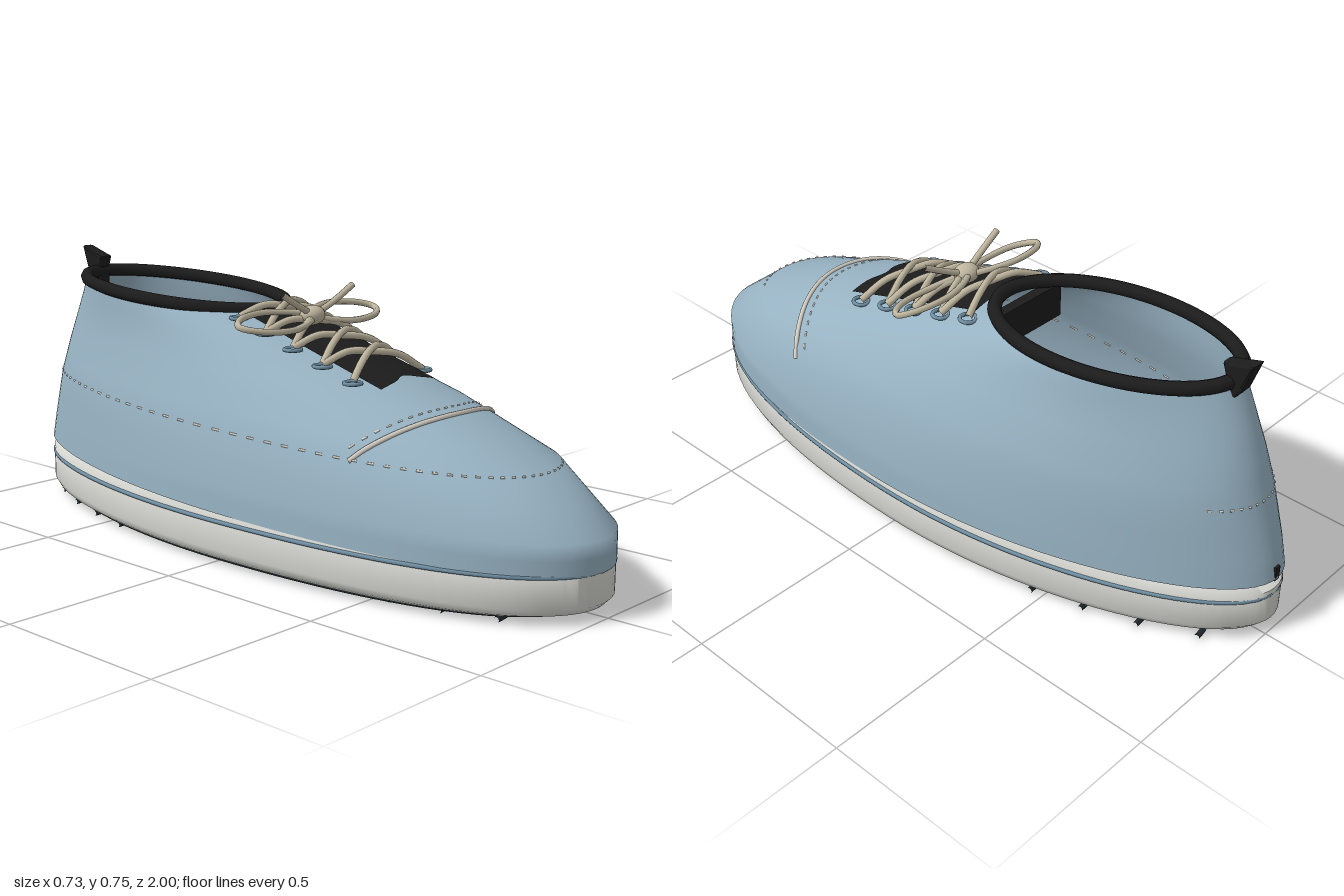
import * as THREE from 'three';
import { toCreasedNormals } from 'three/addons/utils/BufferGeometryUtils.js';

const mat = (name, color, side = THREE.FrontSide) => {
  const m = new THREE.MeshStandardMaterial({ color, side });
  m.name = name;
  return m;
};
const V = (x, y, z) => new THREE.Vector3(x, y, z);

// Foot outline: fuller toe, slimmer heel, ends curving gently to -x
const widen = (z) => 1 + 0.13 * z * Math.abs(z);
const sway = (z) => -0.022 * z * z;
const foot = (x, z) => x * widen(z) + sway(z);

// Upper cross-sections: front z, back z, half width, front y, back y, centre x, roundness
const RINGS = [
  [1.0, -1.0, 0.361, 0.12, 0.17, 0, 1],
  [1.0, -0.985, 0.356, 0.2, 0.24, 0, 1],
  [0.83, -0.94, 0.323, 0.33, 0.385, 0, 0.94],
  [0.55, -0.91, 0.277, 0.44, 0.48, 0, 0.95],
  [0.25, -0.87, 0.235, 0.53, 0.575, -0.004, 0.97],
  [-0.1, -0.815, 0.206, 0.633, 0.678, -0.011, 1],
];

function ringAt(t) {
  const i = Math.min(Math.floor(t), RINGS.length - 2), f = t - i;
  return RINGS[i].map((v, k) => v + (RINGS[i + 1][k] - v) * f);
}

// Point on the upper: t climbs the rings, a turns from the toe towards +x
function surf(t, a) {
  const [zf, zb, hx, yf, yb, cx, p] = ringAt(t);
  const power = (v) => Math.sign(v) * Math.abs(v) ** p;
  const c = power(Math.cos(a)), z = (zf + zb) / 2 + ((zf - zb) / 2) * c;
  return V(foot(cx + hx * power(Math.sin(a)), z), (yf + yb) / 2 + ((yf - yb) / 2) * c, z);
}

// Point on the front of the upper above a given x and z
function onTop(x, z, lift = 0) {
  const x0 = (x - sway(z)) / widen(z);
  const angle = (t) => {
    const r = ringAt(t), u = THREE.MathUtils.clamp((x0 - r[5]) / r[2], -1, 1);
    return Math.asin(Math.sign(u) * Math.abs(u) ** (1 / r[6]));
  };
  let lo = 1, hi = 5;
  for (let i = 0; i < 30; i++) {
    const t = (lo + hi) / 2;
    if (surf(t, angle(t)).z > z) lo = t; else hi = t;
  }
  return V(x, surf(lo, angle(lo)).y + lift, z);
}

// Smooth surface from rows of points
function grid(rows, closed) {
  const n = rows[0].length, idx = [];
  for (let j = 0; j < rows.length - 1; j++) {
    for (let i = 0; i < (closed ? n : n - 1); i++) {
      const k = (i + 1) % n, a = j * n + i, b = j * n + k;
      idx.push(a, b, b + n, a, b + n, a + n);
    }
  }
  const g = new THREE.BufferGeometry().setFromPoints(rows.flat());
  g.setIndex(idx);
  g.computeVertexNormals();
  return g;
}

const range = (n, f) => Array.from({ length: n }, (_, i) => f(i));
const tube = (pts, r, seg = 32, closed = false) =>
  new THREE.TubeGeometry(new THREE.CatmullRomCurve3(pts, closed), seg, r, 8, closed);

// Flat sole layer with a turned edge profile and the foot outline
function oval(profile) {
  const g = new THREE.LatheGeometry(profile.map((p) => new THREE.Vector2(...p)), 96);
  const pos = g.attributes.position;
  for (let i = 0; i < pos.count; i++) pos.setX(i, foot(0.36 * pos.getX(i), pos.getZ(i)));
  return toCreasedNormals(g, 0.95);
}

export function createModel() {
  const shoe = new THREE.Group();
  shoe.name = 'shoe';
  const blue = mat('blue upper', 0x96b1c1, THREE.DoubleSide);
  const trim = mat('blue trim', 0x6f8fa3);
  const white = mat('white sole', 0xdcdcd7);
  const black = mat('black trim', 0x1c1c1c, THREE.DoubleSide);
  const rubber = mat('dark rubber', 0x1f292e);
  const beige = mat('beige lace', 0xc0b7a0);
  const thread = mat('pale thread', 0xd4cec4);
  const add = (name, geo, material, parent = shoe) => {
    const m = new THREE.Mesh(geo, material);
    m.name = name;
    parent.add(m);
    return m;
  };
  const box = (name, size, at, material) =>
    add(name, new THREE.BoxGeometry(...size), material).position.set(...at);
  const group = (name) => {
    const g = new THREE.Group();
    g.name = name;
    shoe.add(g);
    return g;
  };

  // Sole layers
  add('midsole', oval([[0, 0.015], [0.95, 0.015], [0.98, 0.024], [0.998, 0.042],
    [0.998, 0.14], [0.96, 0.165], [0, 0.165]]), white);
  add('outsole', oval([[0, 0.006], [0.92, 0.006], [0.93, 0.017], [0, 0.017]]), rubber);

  // Wavy tread bars under the sole
  const treads = group('treads');
  for (let i = 0; i < 13; i++) {
    const z = -0.87 + i * 0.14;
    const w = 0.36 * Math.sqrt(1 - z * z) * (z < -0.4 ? 0.96 : 0.86);
    const pts = range(9, (k) => {
      const u = k / 4 - 1;
      return V(foot(u * w, z), 0.008, z + 0.018 * Math.sin(u * 5));
    });
    add('treadBar', tube(pts, 0.008, 24), rubber, treads);
  }

  // Upper, welt and collar
  add('upper', grid(range(11, (j) => range(96, (i) => surf(j / 2, (i / 96) * Math.PI * 2))), true), blue);
  add('welt', tube(range(48, (i) => {
    const a = (i / 48) * Math.PI * 2, z = 0.994 * Math.cos(a);
    return V(foot(0.36 * Math.sin(a), z), 0.122, z);
  }), 0.006, 128, true), trim);
  add('collar', tube(range(32, (i) => surf(5, (i / 32) * Math.PI * 2)), 0.019, 96, true), black);

  // Tongue over the instep, with a notched front edge
  const tongueRows = range(13, (j) => range(13, (i) => {
    const x = -0.11 + (i / 12) * 0.22;
    const front = 0.38 - 0.02 * Math.exp(-((x / 0.035) ** 2));
    return onTop(x, front + (-0.1 - front) * (j / 12), 0.006);
  }));
  add('tongue', grid(tongueRows, false), black);

  // Tongue end inside the collar and padded footbed
  box('tongueEnd', [0.29, 0.1, 0.03], [-0.012, 0.565, -0.145], black);
  box('footbed', [0.3, 0.1, 0.62], [-0.012, 0.22, -0.43], black);

  // Eyelets and criss-cross laces
  const laces = group('laces');
  const rows = [0.31, 0.205, 0.1, 0, -0.1];
  for (const s of [-1, 1]) {
    rows.forEach((z, i) => {
      const e = add('eyelet', new THREE.TorusGeometry(0.022, 0.0055, 8, 20), trim, laces);
      e.position.copy(onTop(s * 0.14, z, 0.007));
      e.rotation.x = Math.PI / 2;
      if (i === rows.length - 1) return;
      const z2 = rows[i + 1];
      add('lace', tube([
        onTop(-s * 0.14, z, 0.01),
        onTop(-s * 0.07, z * 0.75 + z2 * 0.25, 0.028),
        onTop(0, (z + z2) / 2, 0.032 + s * 0.006),
        onTop(s * 0.07, z * 0.25 + z2 * 0.75, 0.028),
        onTop(s * 0.14, z2, 0.01)], 0.01), beige, laces);
    });

    // Bow loop and loose end
    add('bowLoop', tube([[0, 0.627, 0.04], [0.12, 0.641, -0.02], [0.23, 0.634, -0.005], [0.265, 0.622, 0.03],
      [0.22, 0.61, 0.075], [0.1, 0.606, 0.085]].map(([x, y, z]) => V(s * x, y, z)), 0.009, 48, true), beige, laces);
    add('laceEnd', tube([[0, 0.627, 0.045], [0.07, 0.66, 0.055], [0.14, 0.698, 0.06]]
      .map(([x, y, z]) => V(s * x, y, z)), 0.009), beige, laces);
  }
  const knot = add('knot', new THREE.SphereGeometry(0.038, 20, 14), beige, laces);
  knot.position.set(-0.005, 0.628, 0.045);
  knot.scale.set(1, 0.7, 0.85);

  // Toe cap seam and stitching
  const seamZ = (x) => 0.563 - 0.133 * (x / 0.29) ** 2;
  add('toeSeam', tube(range(21, (i) => {
    const x = -0.29 + i * 0.029;
    return onTop(x, seamZ(x), 0.002);
  }), 0.007, 60), thread);

  const stitches = group('stitches');
  const dash = (a, b) => add('stitch', tube([a, b], 0.003, 1), thread, stitches);
  for (let i = 0; i < 22; i++) {
    const x = -0.27 + i * 0.0255;
    dash(onTop(x, seamZ(x) - 0.035), onTop(x + 0.011, seamZ(x + 0.011) - 0.035));
  }
  // Side stitching runs along one flank from toe to heel
  for (let i = 0; i < 60; i++) {
    const a = 0.33 - (i / 60) * (Math.PI + 0.8);
    dash(surf(2, a), surf(2, a - 0.026));
  }
  // Centre stitching on the footbed
  for (let i = 0; i < 14; i++) {
    const z = -0.72 + i * 0.04;
    dash(V(-0.015, 0.27, z), V(-0.014, 0.27, z + 0.02));
  }

  // Heel pull tab with its strap inside the collar, and small heel tag
  const tab = new THREE.Shape([[0.825, 0.64], [0.8, 0.718], [0.872, 0.742], [0.845, 0.67]]
    .map((p) => new THREE.Vector2(...p)));
  const tabGeo = new THREE.ExtrudeGeometry(tab,
    { depth: 0.024, bevelThickness: 0.01, bevelSize: 0.008, bevelSegments: 2 });
  tabGeo.rotateY(Math.PI / 2);
  add('pullTab', tabGeo, black).position.x = -0.034;
  box('tabStrap', [0.03, 0.1, 0.012], [-0.022, 0.64, -0.805], black);
  box('heelTag', [0.018, 0.04, 0.012], [-0.022, 0.185, -0.993], black);

  return shoe;
}
